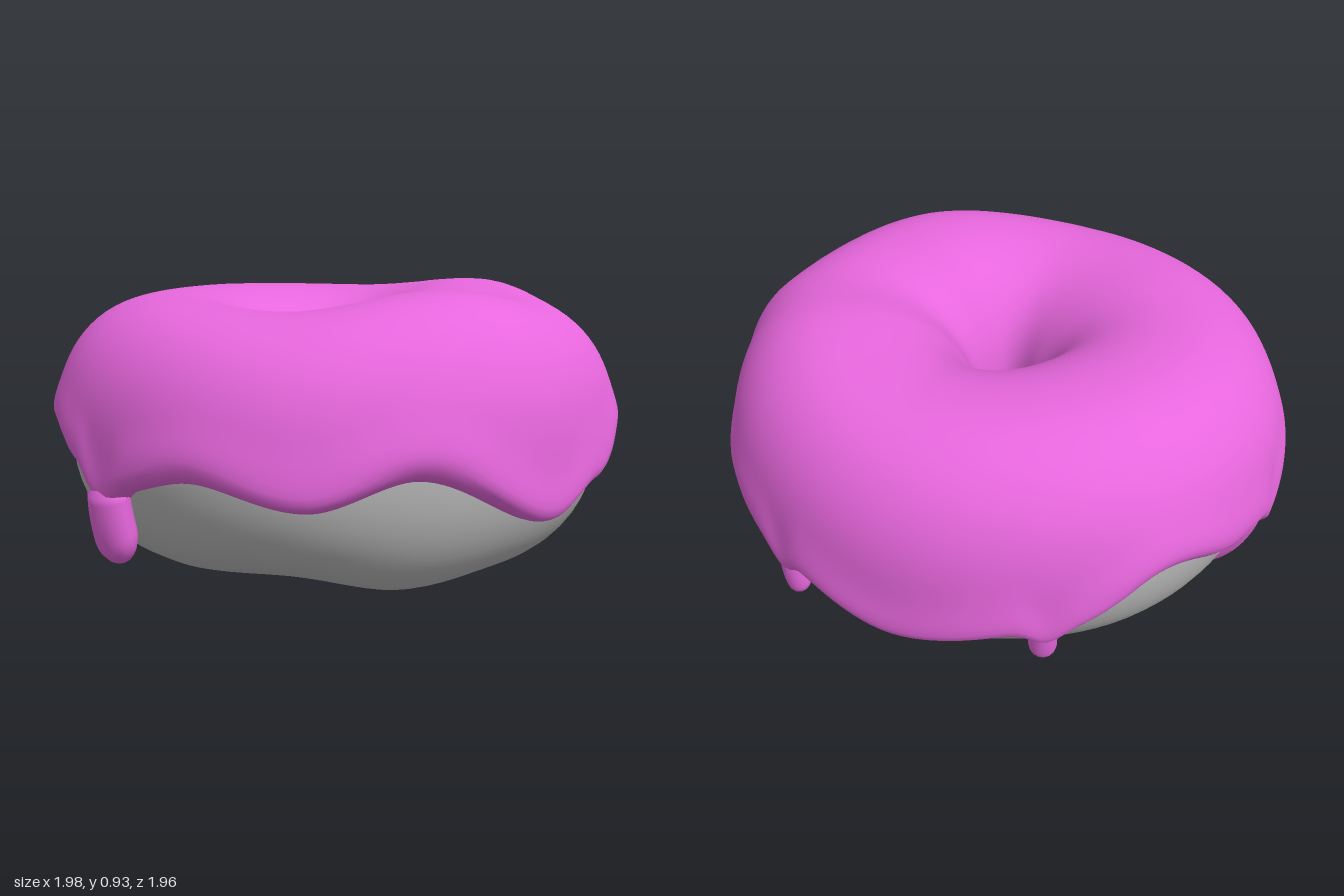
import * as THREE from 'three';

const RAD = Math.PI / 180;
const CENTRE_Y = 0.45, RING = 0.575, POWER = 0.9;

// Smooth periodic curve through [degrees, value] keys (0 = +x, 90 = front)
function keyed(keys) {
  return (a) => {
    const d = (((a / RAD) % 360) + 360) % 360;
    let i = keys.length - 1;
    while (i > 0 && keys[i][0] > d) i--;
    const [d0, v0] = keys[i];
    const next = keys[(i + 1) % keys.length];
    const d1 = i + 1 < keys.length ? next[0] : next[0] + 360;
    const t = (d - d0) / (d1 - d0);
    return v0 + (next[1] - v0) * t * t * (3 - 2 * t);
  };
}

// Hand-shaped irregularity of the ring
const outerRadius = keyed([[0, 0.93], [30, 0.92], [52, 0.93], [90, 0.905], [117, 0.915], [143, 0.93],
  [180, 0.925], [214, 0.905], [250, 0.91], [270, 0.91], [303, 0.885], [324, 0.935]]);
const holeRadius = keyed([[0, 0.17], [40, 0.195], [90, 0.165], [135, 0.18], [180, 0.165], [225, 0.18], [300, 0.14]]);
const topHeight = keyed([[8, 0.88], [60, 0.82], [110, 0.84], [180, 0.855], [235, 0.845], [287, 0.885], [328, 0.84], [368, 0.88]]
  .map(([d, v]) => [d - 8, v]));
const bottomHeight = keyed([[0, 0.025], [23, 0.005], [55, 0.06], [85, 0.04], [180, 0.035], [270, 0.03]]);

// Lower outer border of the icing
const borderKeys = keyed([[0, 0.26], [28, 0.42], [47, 0.34], [68, 0.4], [83, 0.36], [90, 0.33], [99, 0.39],
  [115, 0.46], [132, 0.44], [147, 0.35], [163, 0.38], [181, 0.44], [203, 0.31], [232, 0.245],
  [257, 0.34], [280, 0.41], [293, 0.4], [306, 0.36], [328, 0.42], [346, 0.33]]);

// Drips: angle, half width, tip height, outward lift at the tip, half depth
const drips = [
  { angle: 90.5, width: 0.09, tip: 0.155, lift: 0.05, depth: 0.065 },
  { angle: 148.5, width: 0.034, tip: 0.07, lift: 0.004, depth: 0.03 },
  { angle: 204.5, width: 0.045, tip: 0.21, lift: 0.025, depth: 0.044 },
  { angle: 258.5, width: 0.045, tip: 0.215, lift: 0.025, depth: 0.044 },
  { angle: 304.5, width: 0.048, tip: 0.18, lift: 0.025, depth: 0.044 },
];

// Border with soft shoulders above each drip
function border(a) {
  let y = borderKeys(a);
  for (const d of drips) {
    const da = Math.atan2(Math.sin(a - d.angle * RAD), Math.cos(a - d.angle * RAD));
    y -= 0.05 * Math.exp(-((da / (d.width * 1.4)) ** 2));
  }
  return y;
}

// Point on the ring: a around the axis, th around the section, t above the dough
function ringPoint(a, th, t) {
  const c = Math.cos(th), s = Math.sin(th);
  const half = (c > 0 ? outerRadius(a) - RING : RING - holeRadius(a)) + t;
  const rise = (s > 0 ? topHeight(a - 8 * RAD) - CENTRE_Y : CENTRE_Y - bottomHeight(a)) + t;
  const r = RING + half * Math.sign(c) * Math.abs(c) ** POWER;
  const y = CENTRE_Y + rise * Math.sign(s) * Math.abs(s) ** POWER;
  return [r * Math.cos(a), y, r * Math.sin(a)];
}

// Section angle on the outer side at height y
function angleAt(a, y) {
  const d = y - CENTRE_Y;
  const rise = d > 0 ? topHeight(a - 8 * RAD) - CENTRE_Y : CENTRE_Y - bottomHeight(a);
  return Math.sign(d) * Math.asin(Math.min(1, Math.abs(d) / rise) ** (1 / POWER));
}

// Quarter-circle rise from 0 at a rim to 1 at the given distance from it
function rounded(distance, radius) {
  const k = 1 - THREE.MathUtils.clamp(distance / radius, 0, 1);
  return Math.sqrt(1 - k * k);
}

// Smooth surface closed around u, optionally closed around v
function surface(nu, nv, closeV, fn) {
  const pos = [], index = [];
  const rows = closeV ? nv : nv + 1;
  for (let i = 0; i < nu; i++) {
    for (let j = 0; j < rows; j++) pos.push(...fn(i / nu, j / nv));
  }
  const at = (i, j) => (i % nu) * rows + (j % rows);
  for (let i = 0; i < nu; i++) {
    for (let j = 0; j < nv; j++) {
      index.push(at(i, j), at(i + 1, j), at(i, j + 1));
      index.push(at(i + 1, j), at(i + 1, j + 1), at(i, j + 1));
    }
  }
  const g = new THREE.BufferGeometry();
  g.setAttribute('position', new THREE.Float32BufferAttribute(pos, 3));
  g.setIndex(index);
  g.computeVertexNormals();
  return g;
}

export function createModel() {
  const model = new THREE.Group();
  model.name = 'doughnut';
  const doughMat = new THREE.MeshStandardMaterial({ color: 0xb8b8b8 });
  doughMat.name = 'dough grey';
  const icingMat = new THREE.MeshStandardMaterial({ color: 0xe767dd });
  icingMat.name = 'icing pink';

  const add = (name, geometry, material) => {
    const mesh = new THREE.Mesh(geometry, material);
    mesh.name = name;
    model.add(mesh);
  };

  // Dough ring
  add('dough', surface(96, 48, true, (u, v) =>
    ringPoint(u * 2 * Math.PI, Math.PI - v * 2 * Math.PI, 0)), doughMat);

  // Icing shell with rounded rims and a swollen lower lip
  add('icing', surface(240, 52, false, (u, v) => {
    const a = u * 2 * Math.PI;
    const end = angleAt(a, border(a)), start = 182 * RAD;
    const th = start + (end - start) * (0.5 - 0.5 * Math.cos(Math.PI * v));
    const toEnd = (th - end) * 0.4, toStart = (start - th) * 0.4;
    const lip = (0.012 + Math.max(0, 0.45 - borderKeys(a)) * 0.08) * Math.exp(-(((toEnd - 0.05) / 0.07) ** 2));
    return ringPoint(a, th, -0.012 + (0.062 + lip) * rounded(toEnd, 0.055) * rounded(toStart, 0.045));
  }), icingMat);

  // Drips running down the outer side
  for (const d of drips) {
    const a = d.angle * RAD;
    const top = angleAt(a, borderKeys(a) + 0.06), end = angleAt(a, d.tip);
    const length = (top - end) * 0.4;
    add('icingDrip', surface(16, 24, false, (u, v) => {
      const phi = u * 2 * Math.PI;
      const s = Math.sin(v * Math.PI / 2);
      const size = rounded((1 - s) * length, d.width) * Math.min(1, v / 0.12) * (0.9 + 0.1 * s);
      const t = 0.02 + d.lift * s - d.depth * size * Math.sin(phi);
      return ringPoint(a + d.width * size * Math.cos(phi) / 0.9, top + (end - top) * s, t);
    }), icingMat);
  }
  return model;
}
